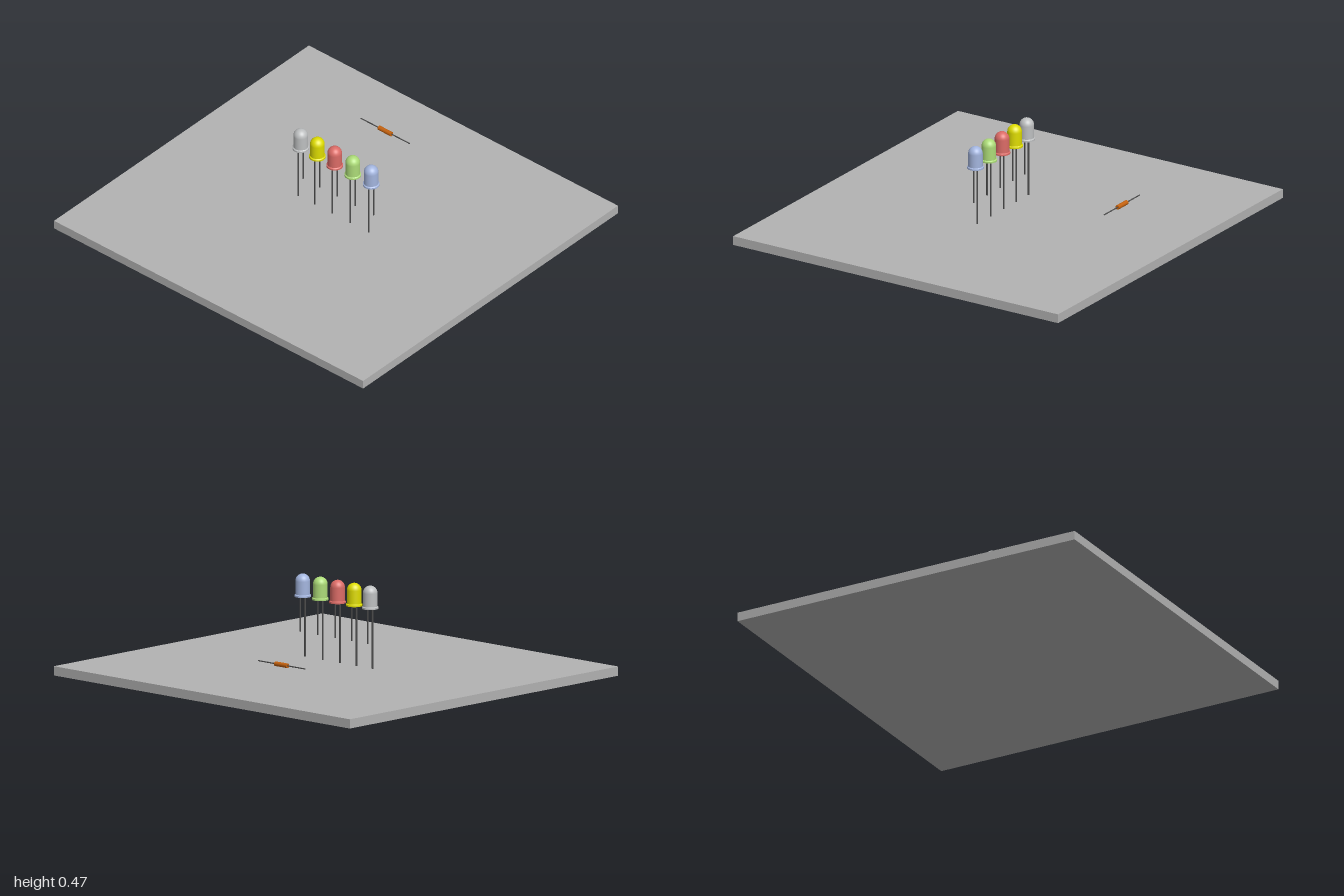
import * as THREE from 'three';

const paint = (name, color) => {
  const m = new THREE.MeshStandardMaterial({ color });
  m.name = name;
  return m;
};

function add(parent, name, geometry, material, x = 0, y = 0, z = 0) {
  const mesh = new THREE.Mesh(geometry, material);
  mesh.name = name;
  mesh.position.set(x, y, z);
  parent.add(mesh);
  return mesh;
}

// Domed bulb: flat underside, thin rim, straight wall, rounded top
function bulbGeometry() {
  const r = 0.036, shoulder = 0.078;
  const pts = [[0, 0], [0.041, 0], [0.041, 0], [0.041, 0.008], [0.041, 0.008], [r, 0.012], [r, 0.012], [r, shoulder]]
    .map(([x, y]) => new THREE.Vector2(x, y));
  for (let i = 1; i <= 10; i++) {
    const a = (i / 10) * Math.PI / 2;
    pts.push(new THREE.Vector2(i === 10 ? 0 : r * Math.cos(a), shoulder + r * Math.sin(a)));
  }
  return new THREE.LatheGeometry(pts, 32);
}

export function createModel() {
  const model = new THREE.Group();
  model.name = 'circuitBoard';

  const boardGrey = paint('boardGrey', 0xb2b2b2);
  const wire = paint('wire', 0x4c4c4c);
  const resistorOrange = paint('resistorOrange', 0xc4620f);

  // Base board
  add(model, 'board', new THREE.BoxGeometry(1.9, 0.046, 2), boardGrey, 0, 0.023, 0);

  // Row of lamps, each with one short and one long leg
  const lamps = [
    ['blue', 0xa3b5de, 0.25], ['green', 0xacdb78, 0.131], ['red', 0xdb6b66, 0.014],
    ['yellow', 0xdedc00, -0.098], ['clear', 0xbdbfc0, -0.206],
  ];
  const bulb = bulbGeometry();
  const top = 0.357;
  for (const [name, color, z] of lamps) {
    const lamp = new THREE.Group();
    lamp.name = name + 'Lamp';
    lamp.position.set(-0.026, 0, z);
    add(lamp, 'bulb', bulb, paint(name + 'Lens', color), 0, top, 0);
    for (const [leg, bottom, dz] of [['shortLeg', 0.18, 0.016], ['longLeg', 0.06, -0.016]]) {
      const h = top - bottom;
      add(lamp, leg, new THREE.CylinderGeometry(0.004, 0.004, h, 10), wire, 0, bottom + h / 2, dz);
    }
    model.add(lamp);
  }

  // Resistor lying along z, with a lead through it
  const resistor = new THREE.Group();
  resistor.name = 'resistor';
  resistor.position.set(0.558, 0.153, -0.165);
  resistor.rotation.x = Math.PI / 2;
  add(resistor, 'resistorBody', new THREE.CylinderGeometry(0.0115, 0.0115, 0.082, 20), resistorOrange);
  add(resistor, 'resistorLead', new THREE.CylinderGeometry(0.003, 0.003, 0.316, 10), wire);
  model.add(resistor);

  return model;
}
